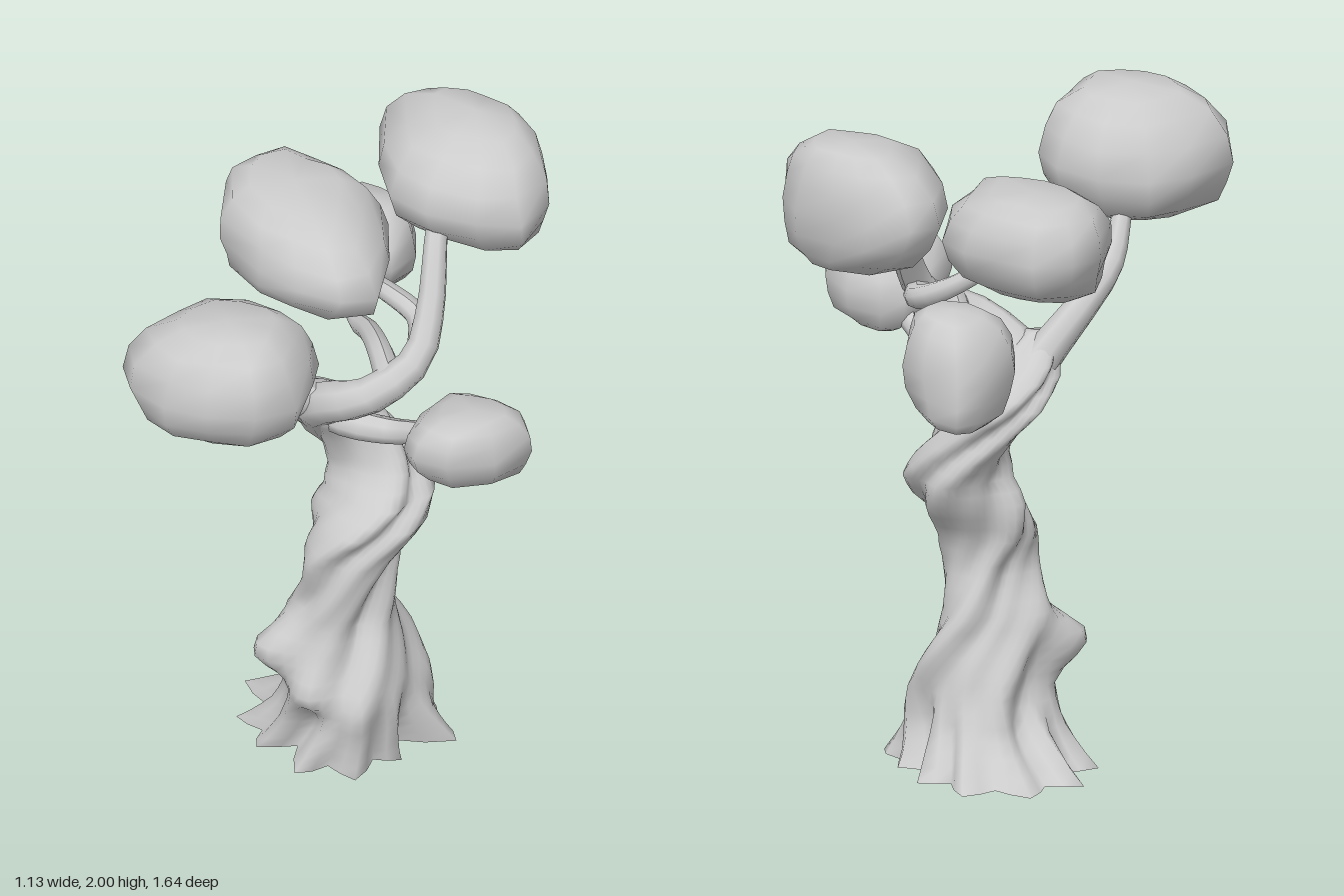
import * as THREE from 'three';

const material = new THREE.MeshStandardMaterial({ color: 0xcccccc, side: THREE.DoubleSide });
const { lerp, smoothstep } = THREE.MathUtils;

// Skin over rings of points (bottom to top), closed by a top point and, if given, a bottom point
function loft(rings, topPoint, bottomPoint) {
  const n = rings[0].length, last = (rings.length - 1) * n;
  const pos = rings.flat(2), index = [];
  for (let j = 0; j < rings.length - 1; j++) {
    for (let i = 0; i < n; i++) {
      const p = j * n + i, q = j * n + (i + 1) % n;
      index.push(p, p + n, q, q, p + n, q + n);
    }
  }
  const tip = pos.push(...topPoint) / 3 - 1;
  for (let i = 0; i < n; i++) index.push(last + i, tip, last + (i + 1) % n);
  if (bottomPoint) {
    const base = pos.push(...bottomPoint) / 3 - 1;
    for (let i = 0; i < n; i++) index.push(base, i, (i + 1) % n);
  }
  const g = new THREE.BufferGeometry();
  g.setAttribute('position', new THREE.Float32BufferAttribute(pos, 3));
  g.setIndex(index);
  g.computeVertexNormals();
  return g;
}

// Trunk sections: height, centre x, centre z, half width x, half depth z
const SECTIONS = [
  [0, -0.145, -0.165, 0.325, 0.315],
  [0.05, -0.125, -0.145, 0.285, 0.285],
  [0.12, -0.1, -0.12, 0.245, 0.245],
  [0.22, -0.08, -0.1, 0.21, 0.23],
  [0.34, -0.09, -0.1, 0.19, 0.21],
  [0.46, -0.11, -0.095, 0.17, 0.175],
  [0.6, -0.09, -0.07, 0.14, 0.145],
  [0.7, -0.09, -0.075, 0.16, 0.145],
  [0.8, -0.045, -0.115, 0.18, 0.17],
  [0.88, -0.02, -0.16, 0.165, 0.155],
  [0.96, -0.055, -0.195, 0.145, 0.125],
  [1.04, -0.11, -0.19, 0.14, 0.12],
  [1.11, -0.16, -0.17, 0.14, 0.13],
  [1.18, -0.2, -0.1, 0.115, 0.125],
  [1.25, -0.21, -0.035, 0.09, 0.085],
  [1.3, -0.21, 0, 0.035, 0.03],
];

function sectionAt(y) {
  let i = 0;
  while (i < SECTIONS.length - 2 && SECTIONS[i + 1][0] < y) i++;
  const a = SECTIONS[i], b = SECTIONS[i + 1];
  const t = (y - a[0]) / (b[0] - a[0]);
  return a.map((v, k) => lerp(v, b[k], t));
}

// Bulge centred on an angle and a height
function bulge(a, y, a0, y0, wa, wy) {
  const da = Math.atan2(Math.sin(a - a0), Math.cos(a - a0));
  return Math.exp(-Math.pow(da / wa, 2) - Math.pow((y - y0) / wy, 2));
}

// Twisted, ridged trunk flaring into pointed roots; open underneath
function trunkGeometry() {
  const rows = 34, sides = 44, top = 1.3, rings = [];
  for (let j = 0; j <= rows; j++) {
    const y = top * j / rows;
    const [, cx, cz, rx, rz] = sectionAt(y);
    const twist = 4 * Math.pow(y, 1.5);
    const root = 1 - smoothstep(y, 0, 0.3);
    const waist = 0.11 * Math.exp(-Math.pow((y - 0.5) / 0.2, 2));
    const ring = [];
    for (let i = 0; i < sides; i++) {
      const a = i / sides * Math.PI * 2;
      const u = a + twist;
      const ridge = 0.09 * (Math.cos(4 * u + 0.6) - 1) + 0.05 * Math.cos(7 * u + 1);
      const spikes = root * 0.13 * (Math.cos(11 * a) - 0.6 + 0.4 * Math.cos(5 * a + 1));
      // knots on the right and the front, and a long root at the back right
      const knots = 0.7 * bulge(a, y, 2.68, 0.37, 0.4, 0.09) + 0.3 * bulge(a, y, 1.85, 0.25, 0.35, 0.07)
        + 0.3 * bulge(a, y, 3.93, 0, 0.35, 0.08);
      const r = 1 + ridge + spikes + knots - waist * (1 + Math.sin(2 * a));
      ring.push([cx + rx * r * Math.cos(a), y, cz + rz * r * Math.sin(a)]);
    }
    rings.push(ring);
  }
  return loft(rings, [-0.21, top, 0]);
}

// Tapered limb along a curve
function limbGeometry(points, r0, r1) {
  const curve = new THREE.CatmullRomCurve3(points.map(p => new THREE.Vector3(...p)));
  const steps = 14, sides = 8;
  const g = new THREE.TubeGeometry(curve, steps, 1, sides);
  const pos = g.attributes.position, v = new THREE.Vector3();
  for (let i = 0; i < pos.count; i++) {
    const t = Math.floor(i / (sides + 1)) / steps;
    const c = curve.getPointAt(t);
    v.fromBufferAttribute(pos, i).sub(c);
    v.multiplyScalar(lerp(r0, r1, Math.pow(t, 0.7))).add(c);
    pos.setXYZ(i, v.x, v.y, v.z);
  }
  g.computeVertexNormals();
  return g;
}

// Leaf clump from a plan outline [x, z], rim height, rim slopes along x and z,
// and crown and underside given as a peak point and a roundness (larger is more pointed)
function clumpGeometry({ outline, rim, slope, crown, under }) {
  const cx = outline.reduce((s, p) => s + p[0], 0) / outline.length;
  const cz = outline.reduce((s, p) => s + p[1], 0) / outline.length;
  const rings = [-68, -46, -23, 0, 23, 46, 68].map((deg, j) => {
    const phi = THREE.MathUtils.degToRad(deg), k = Math.abs(Math.sin(phi));
    const { peak, round } = deg > 0 ? crown : under;
    const mx = lerp(cx, peak[0], k * k), mz = lerp(cz, peak[2], k * k);
    return outline.map(([x, z], i) => {
      const lump = deg === 0 ? 1 : 0.98 + 0.04 * Math.sin(2.4 * i + 1.7 * j);
      const s = Math.pow(Math.cos(phi), round) * lump;
      const dx = (x - cx) * s, dz = (z - cz) * s;
      return [mx + dx, lerp(rim, peak[1], k) + slope[0] * dx + slope[1] * dz, mz + dz];
    });
  });
  return loft(rings, crown.peak, under.peak);
}

export function createModel() {
  const tree = new THREE.Group();
  tree.name = 'tree';
  const add = (name, geometry) => {
    const mesh = new THREE.Mesh(geometry, material);
    mesh.name = name;
    tree.add(mesh);
  };

  add('trunk', trunkGeometry());

  // Limbs: name, path, start radius, end radius
  const limbs = [
    ['mainLimb', [[-0.18, 1.1, -0.15], [-0.17, 1.22, -0.03], [0, 1.32, 0.02], [0.11, 1.4, -0.09],
      [0.12, 1.54, -0.2], [0.1, 1.68, -0.3], [0.08, 1.78, -0.42]], 0.085, 0.03],
    ['frontLimb', [[-0.18, 1.09, -0.16], [-0.24, 1.23, -0.03], [-0.32, 1.37, 0.09], [-0.345, 1.45, 0.22],
      [-0.31, 1.55, 0.38], [-0.29, 1.65, 0.47]], 0.08, 0.025],
    ['leftLimb', [[-0.19, 1.16, -0.1], [-0.07, 1.18, -0.02], [0.05, 1.17, -0.03], [0.18, 1.23, 0.03],
      [0.32, 1.29, 0.14]], 0.06, 0.025],
    ['middleLimb', [[0.12, 1.42, -0.11], [0.06, 1.44, -0.25], [-0.05, 1.49, -0.28],
      [-0.16, 1.56, -0.26], [-0.22, 1.62, -0.25]], 0.045, 0.025],
    ['backLimb', [[0.05, 1.36, -0.02], [-0.02, 1.37, -0.14], [-0.1, 1.33, -0.28],
      [-0.18, 1.285, -0.4], [-0.22, 1.35, -0.55]], 0.045, 0.025],
  ];
  for (const [name, path, r0, r1] of limbs) add(name, limbGeometry(path, r0, r1));

  const clumps = {
    frontFoliage: {
      outline: [[-0.57, 0.61], [-0.51, 0.45], [-0.42, 0.34], [-0.27, 0.3], [-0.12, 0.34], [-0.02, 0.43],
        [0, 0.54], [0, 0.7], [-0.1, 0.79], [-0.24, 0.815], [-0.38, 0.8], [-0.51, 0.72]],
      rim: 1.7, slope: [0.04, 0.06],
      crown: { peak: [-0.25, 1.91, 0.58], round: 0.68 },
      under: { peak: [-0.27, 1.53, 0.57], round: 0.55 },
    },
    middleFoliage: {
      outline: [[-0.57, -0.34], [-0.53, -0.45], [-0.43, -0.52], [-0.3, -0.49], [-0.18, -0.46], [-0.07, -0.37],
        [-0.01, -0.2], [0.02, 0], [-0.08, 0.045], [-0.22, 0.03], [-0.36, -0.03], [-0.52, -0.15]],
      rim: 1.66, slope: [0, -0.03],
      crown: { peak: [-0.33, 1.825, -0.28], round: 0.6 },
      under: { peak: [-0.32, 1.51, -0.25], round: 0.55 },
    },
    topFoliage: {
      outline: [[-0.19, -0.65], [-0.13, -0.73], [0, -0.745], [0.12, -0.73], [0.27, -0.67], [0.36, -0.56],
        [0.41, -0.43], [0.37, -0.29], [0.24, -0.26], [0.08, -0.265], [-0.05, -0.32], [-0.13, -0.46]],
      rim: 1.8, slope: [0, 0],
      crown: { peak: [0.14, 2, -0.55], round: 0.72 },
      under: { peak: [0.17, 1.61, -0.54], round: 0.7 },
    },
    backFoliage: {
      outline: [[-0.41, -0.6], [-0.38, -0.74], [-0.32, -0.815], [-0.2, -0.79], [-0.1, -0.72],
        [-0.06, -0.6], [-0.1, -0.49], [-0.24, -0.46], [-0.36, -0.49]],
      rim: 1.38, slope: [0.08, 0.08],
      crown: { peak: [-0.23, 1.55, -0.64], round: 0.65 },
      under: { peak: [-0.27, 1.215, -0.71], round: 0.65 },
    },
    leftFoliage: {
      outline: [[0.2, 0.3], [0.19, 0.15], [0.23, 0.03], [0.3, 0.01], [0.42, 0.03], [0.52, 0.1],
        [0.565, 0.2], [0.49, 0.32], [0.36, 0.385], [0.25, 0.36]],
      rim: 1.35, slope: [0.06, 0.14],
      crown: { peak: [0.38, 1.485, 0.21], round: 0.62 },
      under: { peak: [0.36, 1.215, 0.16], round: 0.6 },
    },
  };
  for (const [name, spec] of Object.entries(clumps)) add(name, clumpGeometry(spec));
  return tree;
}
